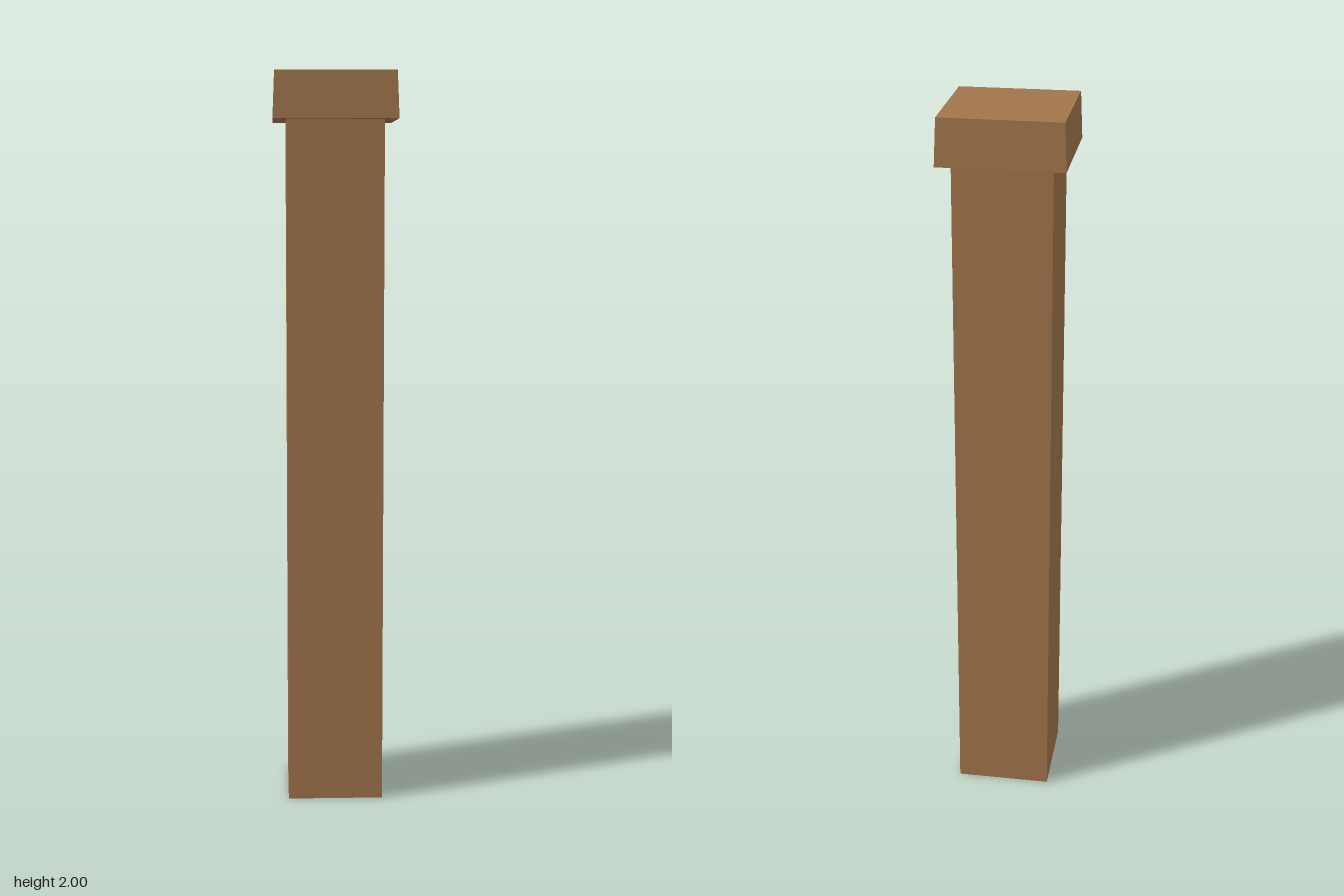
import * as THREE from 'three';

export function createModel() {
  const wood = new THREE.MeshStandardMaterial({ color: 0xa0744a, flatShading: true });
  const post = new THREE.Group();
  post.name = 'post';

  // Four-sided prism between two heights, sized by its corner radii
  function addPrism(name, bottomRadius, topRadius, y0, y1) {
    const geometry = new THREE.CylinderGeometry(topRadius, bottomRadius, y1 - y0, 4);
    const mesh = new THREE.Mesh(geometry, wood);
    mesh.name = name;
    mesh.position.y = (y0 + y1) / 2;
    post.add(mesh);
  }

  addPrism('shaft', 0.185, 0.185, 0, 1.875);
  // Cap narrows slightly towards its top
  addPrism('cap', 0.236, 0.229, 1.875, 2);

  // The whole post is turned about its axis
  post.rotation.y = THREE.MathUtils.degToRad(9.8);

  const model = new THREE.Group();
  model.name = 'woodenPost';
  model.add(post);
  return model;
}
